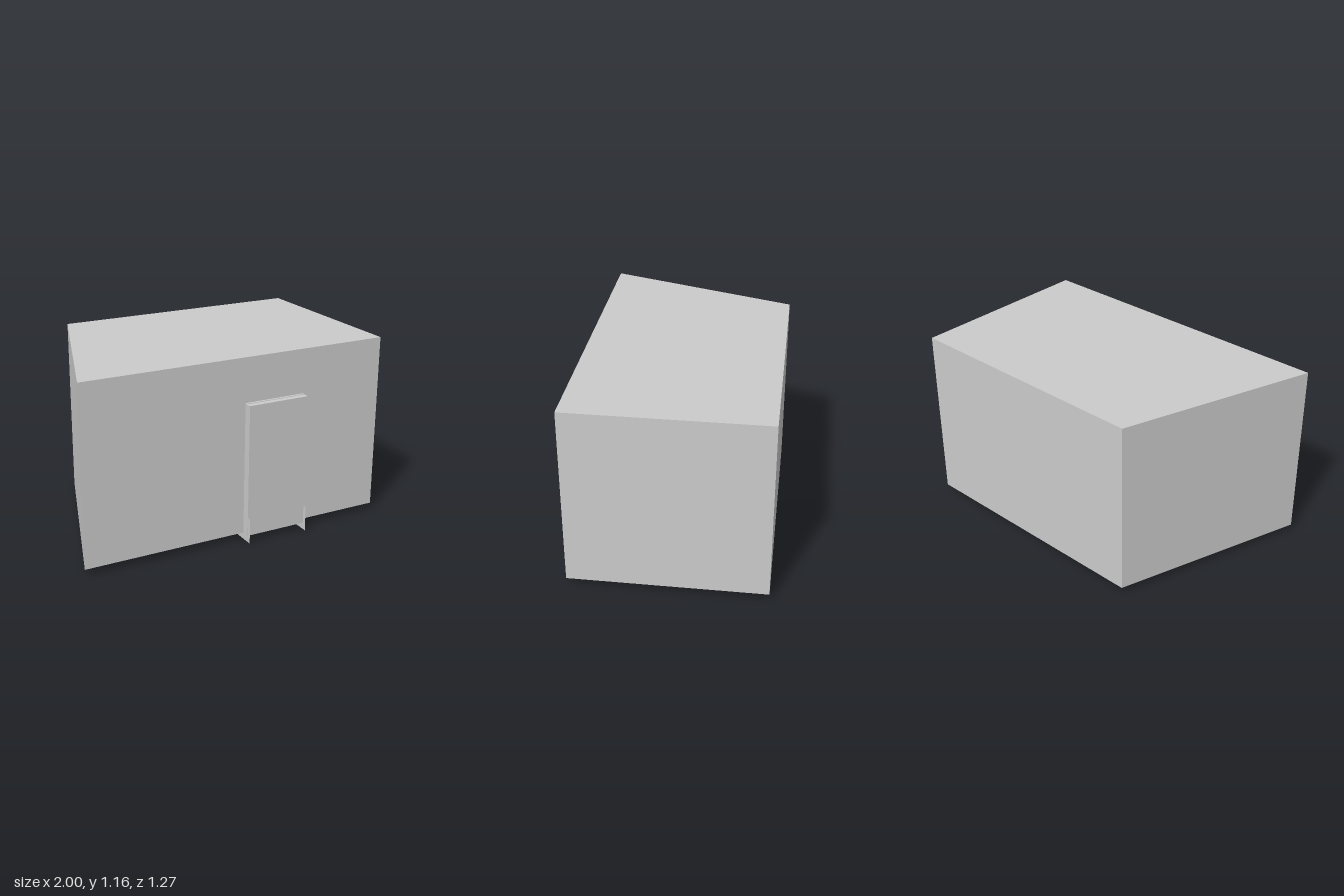
import * as THREE from 'three';

const grey = new THREE.MeshStandardMaterial({ color: 0xcccccc, flatShading: true });
const thin = new THREE.MeshStandardMaterial({ color: 0xcccccc, flatShading: true, side: THREE.DoubleSide });

// Box given by its lower and upper corners
function box(name, [x0, y0, z0], [x1, y1, z1]) {
  const geometry = new THREE.BoxGeometry(x1 - x0, y1 - y0, z1 - z0);
  geometry.translate((x0 + x1) / 2, (y0 + y1) / 2, (z0 + z1) / 2);
  const mesh = new THREE.Mesh(geometry, grey);
  mesh.name = name;
  return mesh;
}

export function createModel() {
  const model = new THREE.Group();
  model.name = 'building';

  // Main block: plan with one slanted side, extruded upward
  const plan = new THREE.Shape([[-1, -0.56], [1, -0.56], [1, 0.635], [-0.6, 0.635]]
    .map(([x, y]) => new THREE.Vector2(x, y)));
  const bodyGeometry = new THREE.ExtrudeGeometry(plan, { depth: 1.12, bevelEnabled: false });
  bodyGeometry.rotateX(-Math.PI / 2);
  bodyGeometry.translate(0, 0.043, 0);
  const body = new THREE.Mesh(bodyGeometry, grey);
  body.name = 'body';
  model.add(body);

  // Door slab set into the front wall, with a slight lip behind its top edge
  model.add(box('door', [0.043, 0.043, 0.39], [0.443, 0.88, 0.612]));
  model.add(box('doorLip', [0.043, 0.87, 0.5], [0.443, 0.883, 0.575]));

  // Thin upright plates at the foot of each door edge
  for (const [name, x] of [['rightFootPlate', 0.045], ['leftFootPlate', 0.445]]) {
    const plate = new THREE.Mesh(new THREE.PlaneGeometry(0.157, 0.162), thin);
    plate.name = name;
    plate.rotation.y = Math.PI / 2;
    plate.position.set(x, 0.081, 0.5565);
    model.add(plate);
  }
  return model;
}
